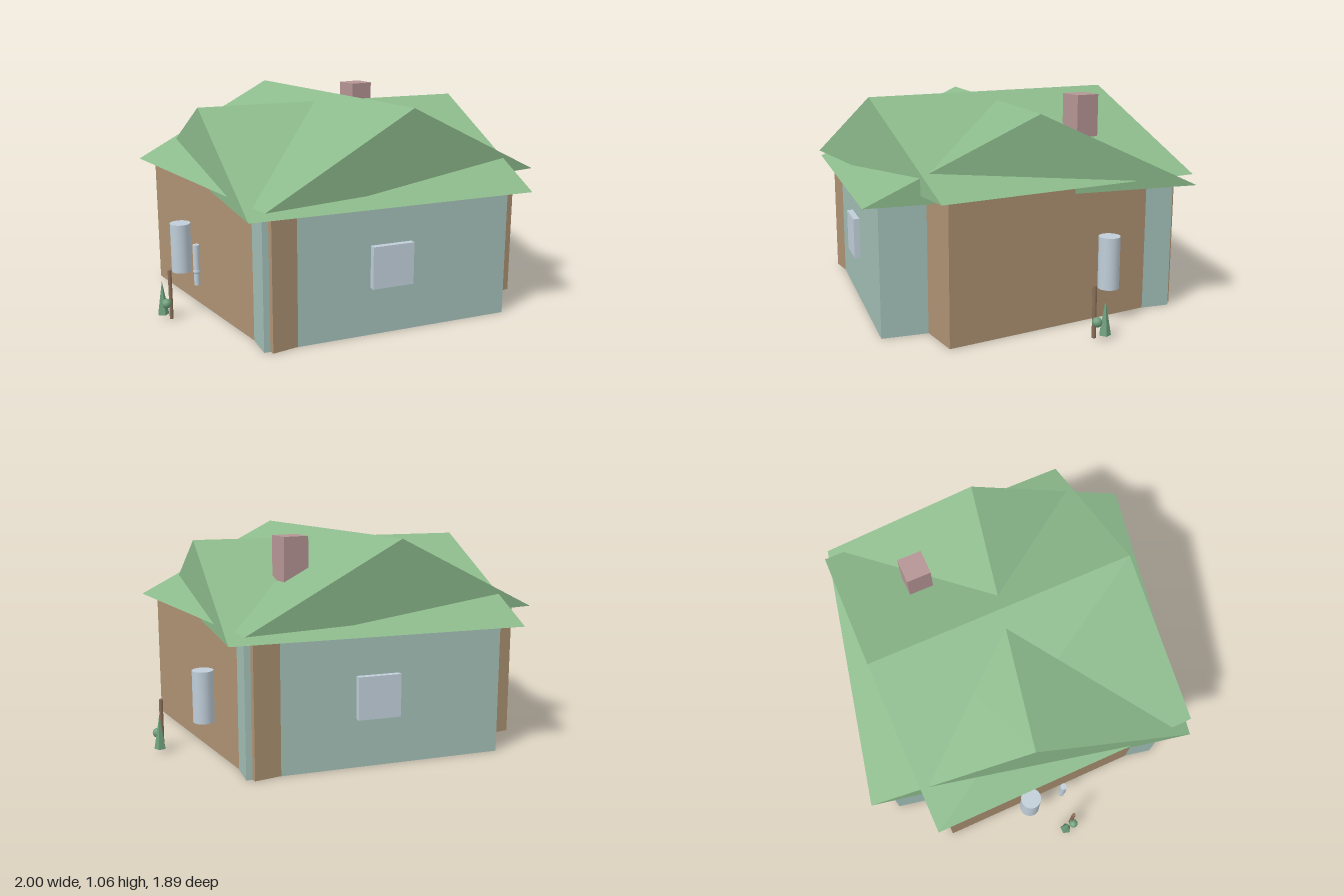
import * as THREE from 'three';

const mat = (name, color) => {
  const m = new THREE.MeshStandardMaterial({ color });
  m.name = name;
  return m;
};

export function createModel() {
  const roofGreen = mat('roof green', 0x8cba8c);
  const woodBrown = mat('wall brown', 0xad9272);
  const paleTeal = mat('wall teal', 0xa2beb6);
  const paleBlue = mat('pale blue', 0xc0ced9);
  const rose = mat('chimney rose', 0xb69595);
  const trunkBrown = mat('trunk brown', 0x8a6f58);
  const leafGreen = mat('leaf green', 0x6f9f7c);

  const model = new THREE.Group();
  const add = (parent, name, geometry, material, x, y, z) => {
    const mesh = new THREE.Mesh(geometry, material);
    mesh.name = name;
    mesh.position.set(x, y, z);
    parent.add(mesh);
    return mesh;
  };
  const cylinder = (r, h, n = 24) => new THREE.CylinderGeometry(r, r, h, n);

  // Solid gable roof with its ridge along z
  const gable = (halfWidth, rise, length) => {
    const s = new THREE.Shape();
    s.moveTo(-halfWidth, 0);
    s.lineTo(halfWidth, 0);
    s.lineTo(0, rise);
    s.closePath();
    return new THREE.ExtrudeGeometry(s, { depth: length, bevelEnabled: false })
      .translate(0, 0, -length / 2);
  };

  // Straight wing: brown walls, ridge running front to back
  const straightWing = new THREE.Group();
  straightWing.name = 'straightWing';
  model.add(straightWing);
  add(straightWing, 'brownWalls', new THREE.BoxGeometry(1.47, 0.674, 1.26), woodBrown, 0, 0.338, 0);
  add(straightWing, 'mainRoof', gable(0.8, 0.38, 1.385), roofGreen, 0, 0.676, 0);

  // Turned wing: teal walls, ridge running side to side
  const turnedWing = new THREE.Group();
  turnedWing.name = 'turnedWing';
  turnedWing.rotation.y = -0.2;
  model.add(turnedWing);
  add(turnedWing, 'tealWalls', new THREE.BoxGeometry(1.26, 0.635, 1.475), paleTeal, 0, 0.3175, 0);
  add(turnedWing, 'crossRoof', gable(0.82, 0.38, 1.428), roofGreen, 0, 0.635, 0).rotation.y = Math.PI / 2;

  // Raised windows on the front and back of the turned wing
  for (const s of [1, -1]) {
    add(turnedWing, s > 0 ? 'frontWindow' : 'backWindow',
      new THREE.BoxGeometry(0.21, 0.205, 0.05), paleBlue, 0, 0.338, s * 0.743);
  }

  add(model, 'chimney', new THREE.BoxGeometry(0.13, 0.3, 0.125), rose, 0.38, 0.908, -0.302);

  // Side tanks and small trees, mirrored left and right
  for (const s of [1, -1]) {
    const side = s > 0 ? 'left' : 'right';
    add(model, side + 'Tank', cylinder(0.052, 0.255), paleBlue, s * 0.798, 0.298, -0.19);

    const tree = new THREE.Group();
    tree.name = side + 'Tree';
    model.add(tree);
    add(tree, 'trunk', cylinder(0.01, 0.25, 8), trunkBrown, s * 0.947, 0.13, 0);
    add(tree, 'pointedFoliage', new THREE.ConeGeometry(0.029, 0.17, 5).toNonIndexed(), leafGreen, s * 0.972, 0.105, -0.043)
      .geometry.computeVertexNormals();
    add(tree, 'roundBush', new THREE.SphereGeometry(0.024, 12, 8), leafGreen, s * 0.97, 0.087, 0);
  }

  // Thin pipe with a joint on the right wall
  const pipe = new THREE.Group();
  pipe.name = 'wallPipe';
  model.add(pipe);
  add(pipe, 'upperPipe', cylinder(0.017, 0.14, 16), paleBlue, -0.802, 0.29, 0);
  add(pipe, 'pipeJoint', new THREE.SphereGeometry(0.019, 12, 8), paleBlue, -0.802, 0.222, 0);
  add(pipe, 'lowerPipe', cylinder(0.015, 0.06, 16), paleBlue, -0.802, 0.182, 0);

  return model;
}
